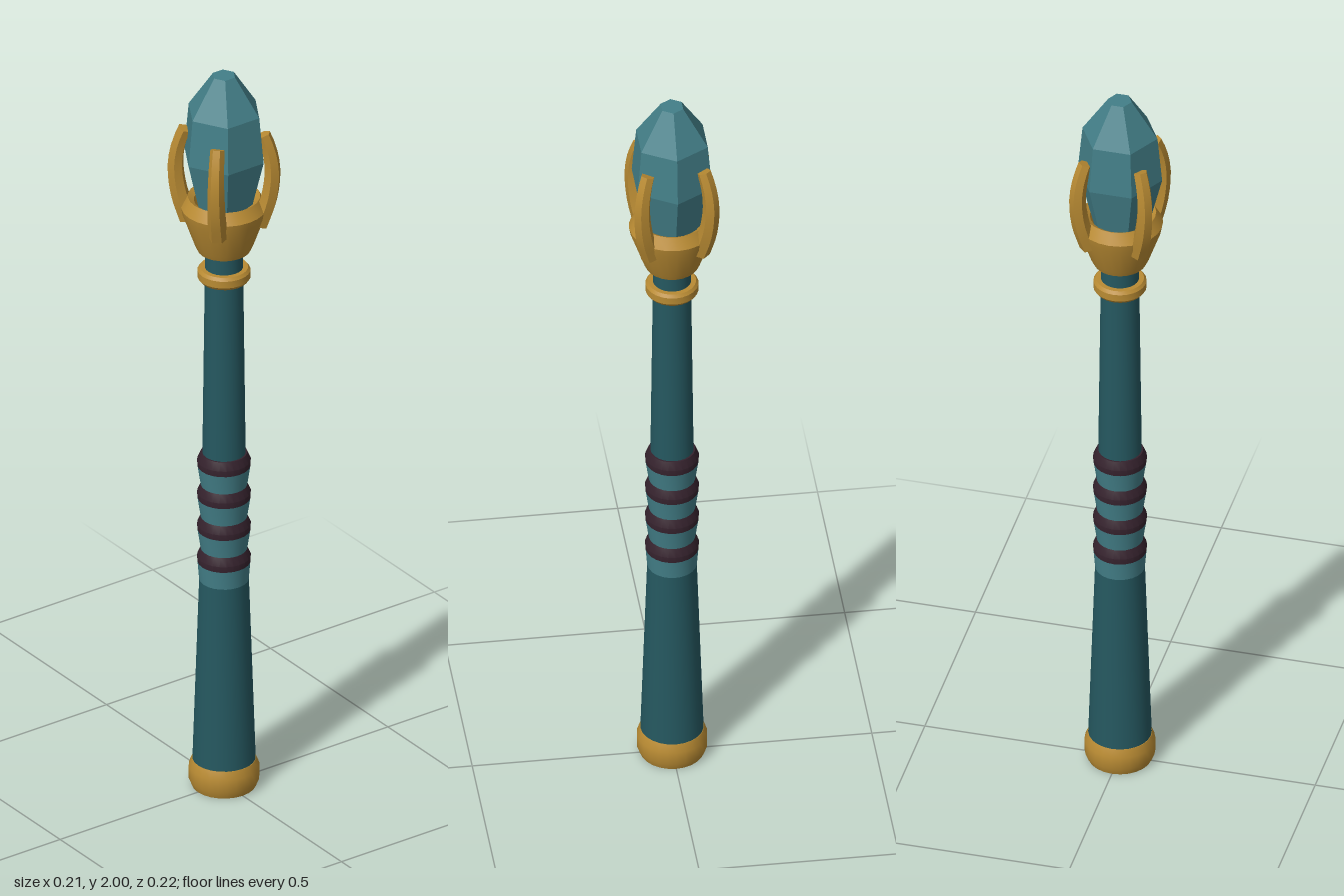
import * as THREE from 'three';
import { toCreasedNormals } from 'three/addons/utils/BufferGeometryUtils.js';

const material = (name, color) => {
  const m = new THREE.MeshStandardMaterial({ color });
  m.name = name;
  return m;
};

export function createModel() {
  const group = new THREE.Group();
  group.name = 'staff';
  const darkTeal = material('dark teal', 0x255860);
  const paleTeal = material('pale teal', 0x437f88);
  const gold = material('gold', 0xb98b33);
  const plum = material('dark plum', 0x35222d);

  const add = (name, geometry, mat) => {
    const mesh = new THREE.Mesh(geometry, mat);
    mesh.name = name;
    group.add(mesh);
    return mesh;
  };
  // Turned part from [radius, height] pairs, bottom to top
  const turned = (name, profile, mat, sides = 24, crease = 0.5) => {
    const points = profile.map(([r, y]) => new THREE.Vector2(r, y));
    return add(name, toCreasedNormals(new THREE.LatheGeometry(points, sides), crease), mat);
  };

  // Shaft in two tapered lengths, with the grip between them
  turned('pommel', [[0, 0], [0.08, 0], [0.088, 0.02], [0.088, 0.055], [0.08, 0.075], [0, 0.075]], gold);
  turned('lowerShaft', [[0.079, 0.07], [0.062, 0.58]], darkTeal);
  turned('upperShaft', [[0.054, 0.93], [0.048, 1.43], [0.047, 1.53]], darkTeal);
  turned('collar', [[0.045, 1.425], [0.06, 1.425], [0.066, 1.433], [0.066, 1.452], [0.06, 1.46], [0.045, 1.46]], gold);

  // Grip: flared sleeves, each topped by a dark band
  for (let i = 0; i < 4; i++) {
    const y = 0.63 + i * 0.09;
    const start = i === 0 ? [0.062, 0.58] : [0.058, y - 0.053];
    turned('gripSleeve', [start, [0.066, y]], paleTeal);
    turned('gripBand', [[0.066, y], [0.067, y + 0.016], [0.058, y + 0.037], [0.05, y + 0.037]], plum);
  }

  // Cup holding the crystal
  turned('cup', [[0.04, 1.51], [0.066, 1.51], [0.073, 1.525], [0.103, 1.61], [0.107, 1.63],
    [0.09, 1.66], [0.075, 1.65], [0.06, 1.6], [0, 1.59]], gold);

  // Six-sided crystal
  turned('crystal', [[0, 1.6], [0.065, 1.6], [0.108, 1.775], [0.096, 1.9], [0.03, 2], [0, 2]], paleTeal, 6, 0.05);

  // Claws: six-sided bars bent along a curve and narrowed to the tip
  const curve = new THREE.CatmullRomCurve3([[0.088, 1.59], [0.112, 1.66], [0.122, 1.74], [0.114, 1.8], [0.099, 1.842]]
    .map(([r, y]) => new THREE.Vector3(r, y, 0)));
  const bar = new THREE.CylinderGeometry(0.018, 0.025, 1, 6, 10);
  const pos = bar.attributes.position;
  for (let i = 0; i < pos.count; i++) {
    const t = THREE.MathUtils.clamp(pos.getY(i) + 0.5, 0, 1);
    const p = curve.getPointAt(t);
    const tangent = curve.getTangentAt(t);
    const across = pos.getX(i);
    pos.setXYZ(i, p.x + tangent.y * across, p.y - tangent.x * across, pos.getZ(i));
  }
  const clawGeometry = toCreasedNormals(bar, 0.5);
  for (let i = 0; i < 4; i++) {
    add('claw', clawGeometry, gold).rotation.y = Math.PI / 4 + i * Math.PI / 2;
  }
  return group;
}
